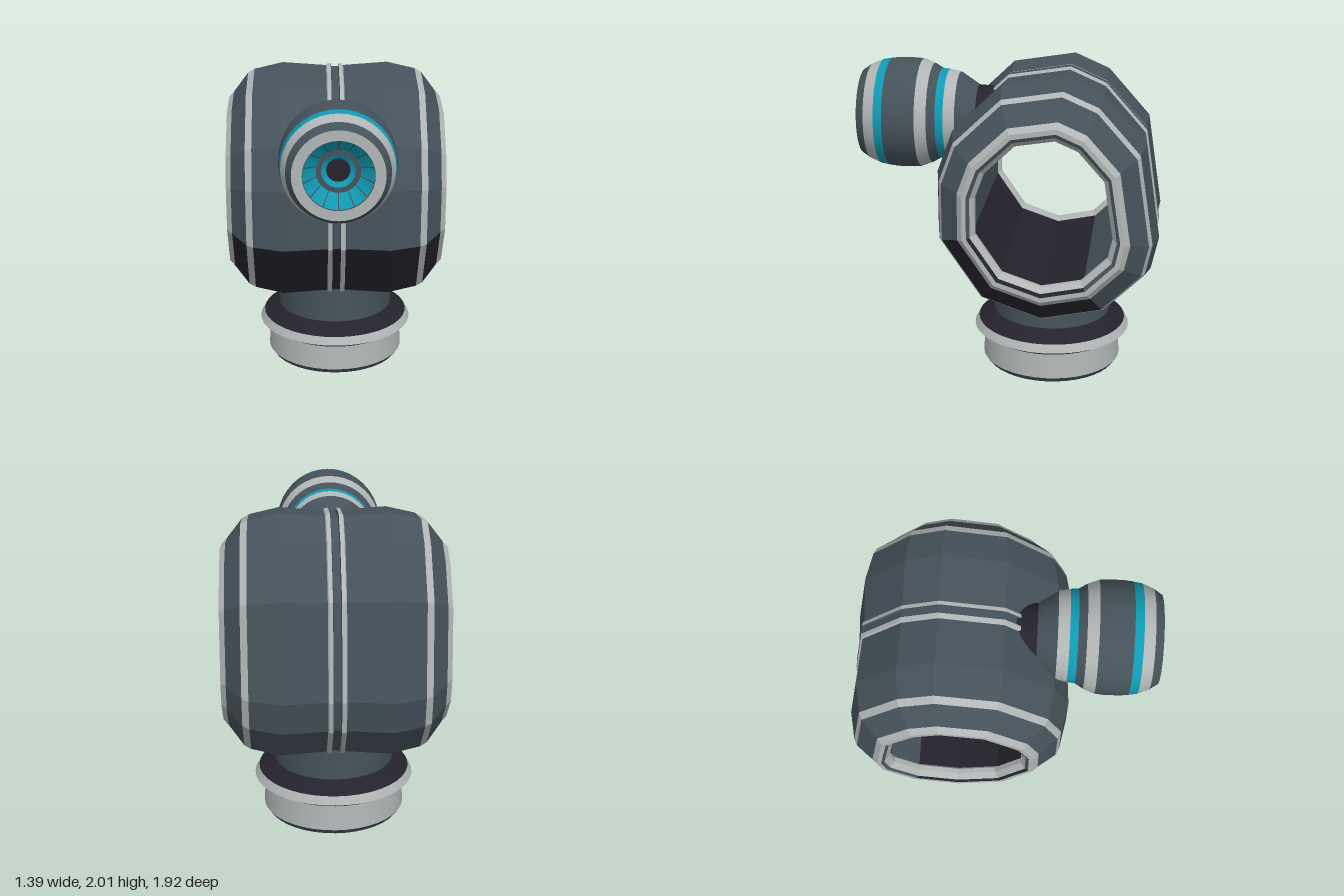
import * as THREE from 'three';

const mat = (name, color, side = THREE.FrontSide) => {
  const m = new THREE.MeshStandardMaterial({ color, side });
  m.name = name;
  return m;
};

export function createModel() {
  const M = {
    grey: mat('slate grey', 0x46525b),
    light: mat('light grey', 0xb2b6b7),
    black: mat('near black', 0x24222c),
    teal: mat('teal', 0x109ab3),
  };
  const model = new THREE.Group();
  model.name = 'model';
  const add = (parent, name, geo, key) => {
    const mesh = new THREE.Mesh(geo, M[key]);
    mesh.name = name;
    parent.add(mesh);
    return mesh;
  };

  // Hollow drum: an uneven twelve-sided outline (z, y), scaled along x
  const CZ = -0.26, CY = 1.22;
  const outline = [
    [-0.366, 2.0], [-0.594, 1.9], [-0.86, 1.6], [-0.955, 1.0], [-0.91, 0.79], [-0.647, 0.53],
    [-0.24, 0.446], [0.164, 0.584], [0.435, 0.987], [0.435, 1.38], [0.34, 1.64], [0.03, 1.936],
  ];
  // Half profile: x, outline scale, colour and name of the band that ends here
  const profile = [
    [0, 0.967],
    [0.022, 0.967, 'grey', 'drumSeamGroove'],
    [0.026, 0.992, 'grey', 'drumSeamGroove'],
    [0.05, 0.988, 'light', 'drumSeamStripe'],
    [0.056, 0.974, 'light', 'drumSeamStripe'],
    [0.34, 1.0, 'grey', 'drumShell'],
    [0.525, 0.945, 'grey', 'drumShell'],
    [0.567, 0.915, 'light', 'drumShoulderStripe'],
    [0.662, 0.755, 'grey', 'drumShoulder'],
    [0.695, 0.71, 'light', 'drumRim'],
    [0.695, 0.67, 'light', 'drumRim'],
    [0.685, 0.64, 'grey', 'drumRimInset'],
    [0.65, 0.6, 'light', 'drumLip'],
    [0.62, 0.6, 'light', 'drumLip'],
    [0.605, 0.635, 'light', 'drumLip'],
    [0, 0.635, 'grey', 'drumInnerWall'],
  ];
  const drum = new THREE.Group();
  drum.name = 'drum';
  model.add(drum);
  const bands = new Map();
  const at = ([x, s], i, side) => {
    const [z, y] = outline[i % 12];
    return [side * x, CY + (y - CY) * s, CZ + (z - CZ) * s];
  };
  for (let p = 1; p < profile.length; p++) {
    const [, , colour, name] = profile[p];
    for (let i = 0; i < 12; i++) {
      // The underside of the grey bands is black
      const under = colour === 'grey' && i >= 5 && i <= 7;
      const id = name + (under ? 'Underside' : '');
      if (!bands.has(id)) bands.set(id, { key: under ? 'black' : colour, pos: [] });
      for (const side of [1, -1]) {
        const a = at(profile[p - 1], i, side), b = at(profile[p], i, side);
        const c = at(profile[p], i + 1, side), d = at(profile[p - 1], i + 1, side);
        const tris = side > 0 ? [a, b, c, a, c, d] : [a, c, b, a, d, c];
        bands.get(id).pos.push(...tris.flat());
      }
    }
  }
  for (const [name, { key, pos }] of bands) {
    const geo = new THREE.BufferGeometry();
    geo.setAttribute('position', new THREE.Float32BufferAttribute(pos, 3));
    geo.computeVertexNormals();
    add(drum, name, geo, key);
  }

  // Turned parts: one crisp-edged band between each pair of (radius, height) points
  const turned = (parent, rows) => {
    for (let i = 1; i < rows.length; i++) {
      const [r0, h0] = rows[i - 1], [r1, h1, key, name] = rows[i];
      const pts = [new THREE.Vector2(r0, h0), new THREE.Vector2(r1, h1)];
      add(parent, name, new THREE.LatheGeometry(pts, 40), key);
    }
  };

  // Round foot and neck under the drum
  const base = new THREE.Group();
  base.name = 'base';
  base.position.z = CZ;
  model.add(base);
  turned(base, [
    [0, 0],
    [0.43, 0, 'black', 'footUnderside'],
    [0.455, 0.035, 'grey', 'footEdge'],
    [0.445, 0.2, 'light', 'footBand'],
    [0.512, 0.24, 'grey', 'flangeUnderside'],
    [0.485, 0.29, 'light', 'flangeRim'],
    [0.382, 0.355, 'black', 'flangeTop'],
    [0.382, 0.68, 'grey', 'baseNeck'],
  ]);

  // Nozzle: its axis points to +z
  const nozzle = new THREE.Group();
  nozzle.name = 'nozzle';
  nozzle.position.y = 1.66;
  nozzle.rotation.x = Math.PI / 2;
  model.add(nozzle);
  turned(nozzle, [
    [0, -0.26],
    [0.16, -0.26, 'black', 'stemEnd'],
    [0.19, 0.22, 'black', 'stem'],
    [0.268, 0.34, 'grey', 'nozzleCone'],
    [0.283, 0.41, 'light', 'rearLightBand'],
    [0.288, 0.46, 'teal', 'rearTealBand'],
    [0.318, 0.51, 'grey', 'rearGreyBand'],
    [0.345, 0.58, 'light', 'middleLightBand'],
    [0.35, 0.63, 'grey', 'nozzleBarrel'],
    [0.35, 0.73, 'grey', 'nozzleBarrel'],
    [0.344, 0.785, 'grey', 'nozzleBarrel'],
    [0.335, 0.84, 'teal', 'frontTealBand'],
    [0.306, 0.91, 'light', 'frontLightBand'],
    [0.272, 0.962, 'grey', 'nozzleEdge'],
    [0.21, 0.962, 'light', 'nozzleFace'],
    [0.21, 0.948, 'grey', 'recessEdge'],
    [0.13, 0.87, 'grey', 'recessCone'],
    [0.1, 0.87, 'grey', 'recessStep'],
    [0.07, 0.85, 'teal', 'innerTealRing'],
    [0, 0.85, 'black', 'nozzleBore'],
  ]);

  // Teal panels around the recess, with narrow gaps
  const COUNT = 14, STEP = (Math.PI * 2) / COUNT;
  const panel = [new THREE.Vector2(0.207, 0.951), new THREE.Vector2(0.13, 0.875)];
  for (let i = 0; i < COUNT; i++) {
    add(nozzle, 'recessPanel', new THREE.LatheGeometry(panel, 3, i * STEP + 0.02, STEP - 0.04), 'teal');
  }
  return model;
}
